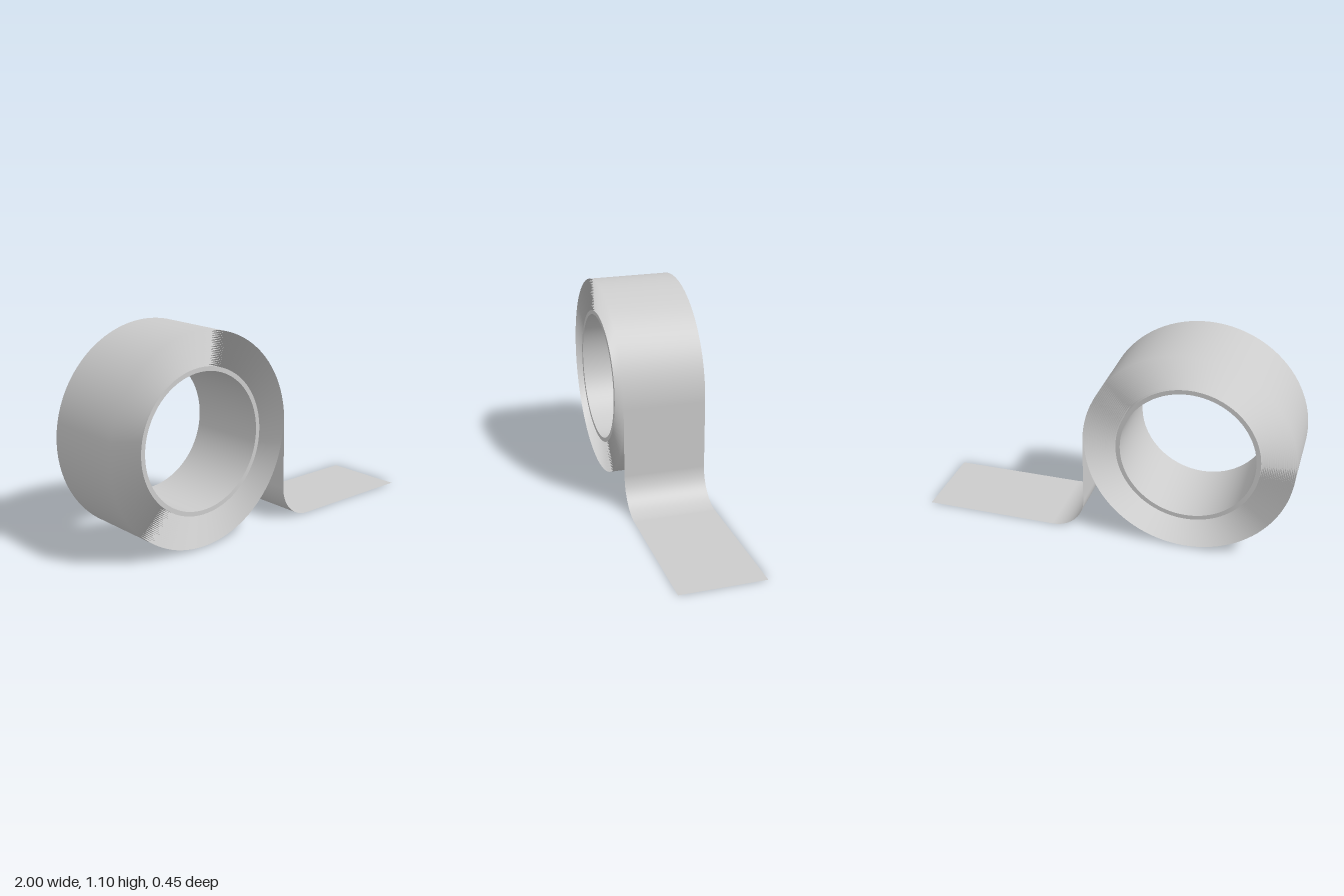
import * as THREE from 'three';
import { toCreasedNormals } from 'three/addons/utils/BufferGeometryUtils.js';

const WIDTH = 0.446;
const CENTRE = new THREE.Vector2(-0.45, 0.55);
const CORE_INNER = 0.35, CORE_OUTER = 0.373;
const ROLL_INNER = 0.376, ROLL_OUTER = 0.55;
const TURNS = 20, STEPS = 96;

// Sweeps a 2D path along z into a thin, smooth strip
function ribbon(path, width) {
  const position = [], index = [];
  path.forEach((p, i) => {
    position.push(p.x, p.y, width / 2, p.x, p.y, -width / 2);
    if (i === 0) return;
    const a = 2 * (i - 1), b = 2 * i;
    index.push(a, b, b + 1, a, b + 1, a + 1);
  });
  const geometry = new THREE.BufferGeometry();
  geometry.setAttribute('position', new THREE.Float32BufferAttribute(position, 3));
  geometry.setIndex(index);
  geometry.computeVertexNormals();
  return geometry;
}

// Wound layers, then the free end: down, round the bend and flat along the ground
function tapePath() {
  const path = [];
  const total = TURNS * STEPS;
  for (let i = 0; i <= total; i++) {
    const angle = -2 * Math.PI * (i / STEPS);
    const r = THREE.MathUtils.lerp(ROLL_INNER, ROLL_OUTER, i / total);
    path.push(new THREE.Vector2(CENTRE.x + r * Math.cos(angle), CENTRE.y + r * Math.sin(angle)));
  }
  const edge = CENTRE.x + ROLL_OUTER, bend = 0.18, bendSteps = 24;
  for (let i = 0; i <= bendSteps; i++) {
    const angle = Math.PI + (Math.PI / 2) * (i / bendSteps);
    path.push(new THREE.Vector2(edge + bend * (1 + Math.cos(angle)), bend * (1 + Math.sin(angle))));
  }
  path.push(new THREE.Vector2(1, 0));
  return path;
}

// Hollow cardboard tube
function coreGeometry() {
  const h = WIDTH / 2;
  const profile = [
    [CORE_INNER, -h], [CORE_OUTER, -h], [CORE_OUTER, h], [CORE_INNER, h], [CORE_INNER, -h],
  ].map(([r, y]) => new THREE.Vector2(r, y));
  const geometry = toCreasedNormals(new THREE.LatheGeometry(profile, 96), Math.PI / 6);
  geometry.rotateX(Math.PI / 2);
  return geometry;
}

export function createModel() {
  const group = new THREE.Group();
  group.name = 'tapeRoll';

  const core = new THREE.Mesh(coreGeometry(), new THREE.MeshStandardMaterial({ color: 0xcccccc }));
  core.name = 'core';
  core.position.set(CENTRE.x, CENTRE.y, 0);

  const tape = new THREE.Mesh(
    ribbon(tapePath(), WIDTH),
    new THREE.MeshStandardMaterial({ color: 0xcccccc, side: THREE.DoubleSide })
  );
  tape.name = 'tape';

  group.add(core, tape);
  return group;
}
